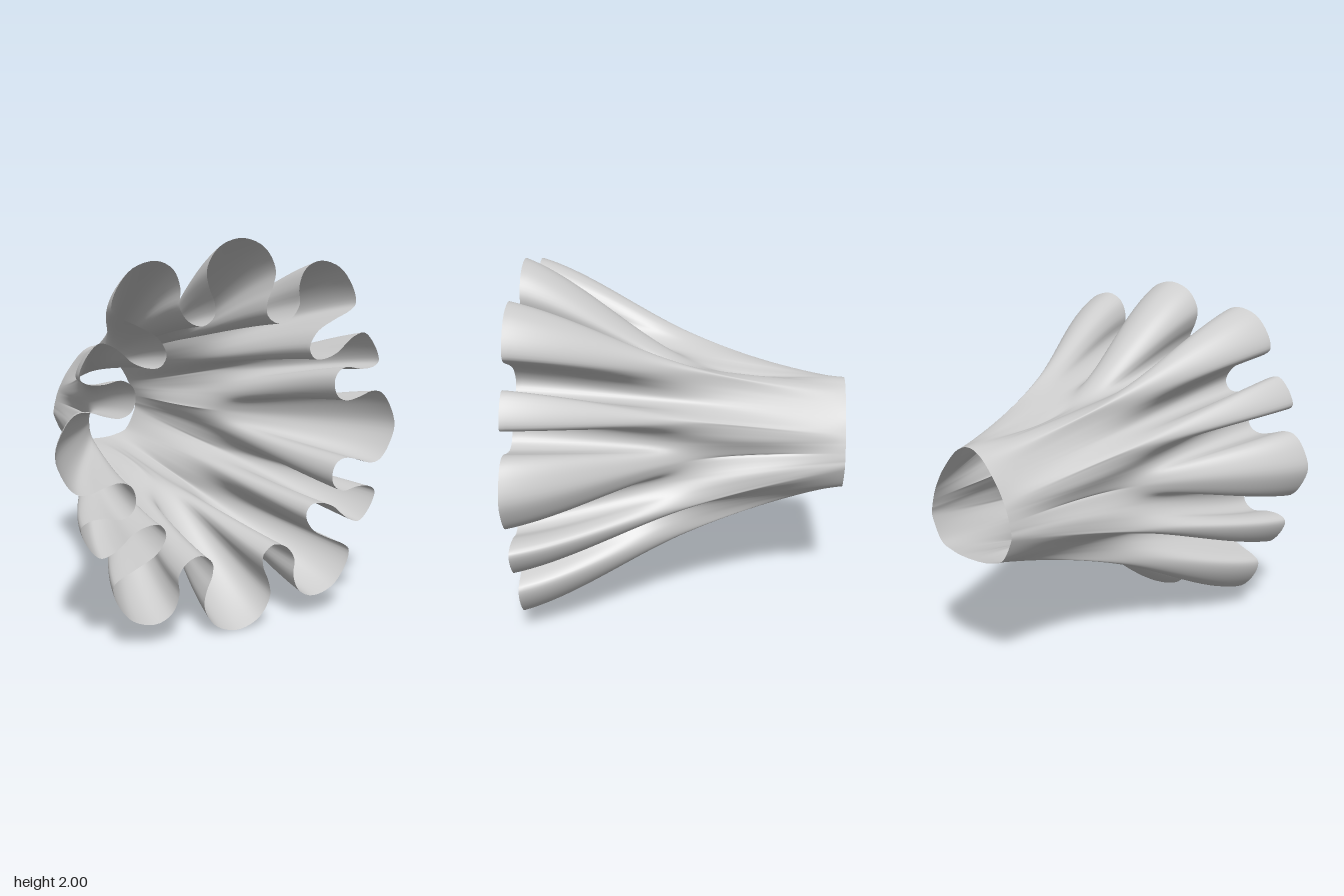
import * as THREE from 'three';

const HALF_DEPTH = 0.885;
const AROUND = 624; // 52 samples per fold
const ALONG = 56;

// Mirror an open run of points that starts and ends on the mirror axis
const mirror = (pts, sx, sy) =>
  pts.concat(pts.slice(0, -1).reverse().map(([x, y]) => [x * sx, y * sy]));

// Closed smooth loop, sampled evenly by control point so the folds line up
function loop(pts) {
  const curve = new THREE.CatmullRomCurve3(
    pts.map(([x, y]) => new THREE.Vector3(x, y, 0)), true, 'catmullrom', 0.5);
  return Array.from({ length: AROUND }, (_, i) => curve.getPoint(i / AROUND));
}

const fullLoop = (half) => mirror(half, -1, 1).slice(0, -1);
const polar = ([deg, r]) => {
  const a = THREE.MathUtils.degToRad(deg);
  return [r * Math.cos(a), r * Math.sin(a)];
};

// Mouth: one quarter of the ruffled rim, thirteen steps per fold
const mouthQuarter = [
  [0, 1], [0.1, 0.975], [0.165, 0.92], [0.2, 0.84], [0.185, 0.76], [0.155, 0.69], [0.155, 0.62],
  [0.22, 0.575], [0.3, 0.6], [0.35, 0.67], [0.345, 0.76], [0.385, 0.85], [0.48, 0.89],
  [0.6, 0.855], [0.68, 0.765], [0.71, 0.675], [0.67, 0.63], [0.57, 0.585], [0.47, 0.53], [0.42, 0.45],
  [0.45, 0.39], [0.52, 0.385], [0.6, 0.415], [0.66, 0.465], [0.715, 0.5], [0.78, 0.51],
  [0.845, 0.44], [0.875, 0.36], [0.83, 0.325], [0.75, 0.32], [0.66, 0.335], [0.6, 0.3], [0.585, 0.24],
  [0.61, 0.18], [0.67, 0.155], [0.75, 0.17], [0.83, 0.195], [0.9, 0.185], [0.96, 0.115], [1, 0],
];
// Waist: shallow folds (angle, radius)
const waistQuarter = [
  [90, 0.435], [74, 0.45], [58, 0.59], [43, 0.455], [28, 0.55], [14, 0.445], [0, 0.435],
].map(polar);
// Neck: rounded triangle
const neckHalf = [
  [0, 0.34], [0.05, 0.328], [0.11, 0.285], [0.195, 0.18], [0.243, 0.095], [0.264, 0.045], [0.277, 0],
  [0.287, -0.045], [0.287, -0.1], [0.225, -0.22], [0.135, -0.257], [0.065, -0.268], [0, -0.27],
];

// Smooth blend from mouth through waist to neck
function blend(f, m, b, t) {
  const c1 = m - f, c2 = b - m;
  const mid = 0.7 * c1 + 0.3 * c2;
  const hermite = (p, q, dp, dq, s) =>
    (2 * s ** 3 - 3 * s * s + 1) * p + s * (1 - s) ** 2 * dp +
    (3 * s * s - 2 * s ** 3) * q + s * s * (s - 1) * dq;
  return t < 1 ? hermite(f, m, 0.6 * c1, mid, t) : hermite(m, b, mid, 0.7 * c2, t - 1);
}

export function createModel() {
  const mouth = loop(fullLoop(mirror(mouthQuarter, 1, -1)));
  const waist = loop(fullLoop(mirror(waistQuarter, 1, -1)));
  const neck = loop(fullLoop(neckHalf));

  const positions = [], index = [];
  for (let j = 0; j <= ALONG; j++) {
    const t = (2 * j) / ALONG;
    for (let i = 0; i < AROUND; i++) {
      positions.push(
        blend(mouth[i].x, waist[i].x, neck[i].x, t),
        1 + blend(mouth[i].y, waist[i].y, neck[i].y, t),
        HALF_DEPTH * (1 - t));
      if (j === ALONG) continue;
      const a = j * AROUND + i, b = j * AROUND + ((i + 1) % AROUND);
      index.push(a, b, a + AROUND, b, b + AROUND, a + AROUND);
    }
  }
  const geometry = new THREE.BufferGeometry();
  geometry.setAttribute('position', new THREE.Float32BufferAttribute(positions, 3));
  geometry.setIndex(index);
  geometry.computeVertexNormals();

  const skin = new THREE.Mesh(geometry,
    new THREE.MeshStandardMaterial({ color: 0xcccccc, side: THREE.DoubleSide }));
  skin.name = 'ruffledFunnel';
  const group = new THREE.Group();
  group.name = 'flaredRuffle';
  group.add(skin);
  return group;
}
